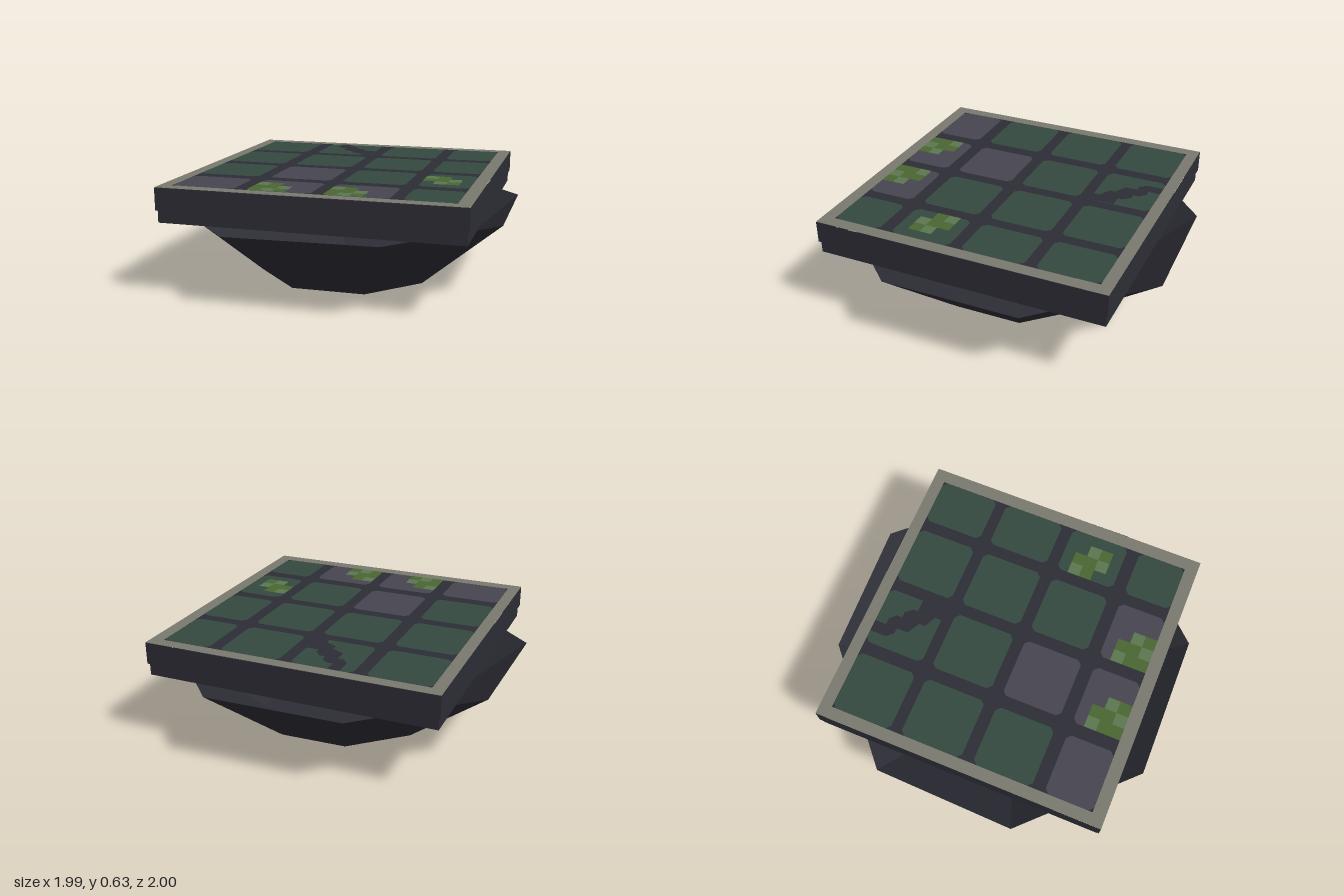
import * as THREE from 'three';

const mat = (name, color, flatShading = false) =>
  new THREE.MeshStandardMaterial({ name, color, flatShading, side: THREE.DoubleSide });

export function createModel() {
  const group = new THREE.Group();
  const stone = mat('dark stone', 0x2d2d36);
  const slab = mat('grey slab', 0x464450);
  const green = mat('green slab', 0x34493f);
  const trim = mat('rim grey', 0x7a796f);
  const moss = mat('moss', 0x4a6632);
  const paleMoss = mat('pale moss', 0x5b774f);

  const add = (name, geometry, material) => {
    const mesh = new THREE.Mesh(geometry, material);
    mesh.name = name;
    group.add(mesh);
    return mesh;
  };

  // Outlines are given as [x, z] pairs and laid flat, facing up
  const points = (list) => list.map(([x, z]) => new THREE.Vector2(x, -z));
  const rect = (x0, z0, x1, z1) => [[x0, z0], [x1, z0], [x1, z1], [x0, z1]];
  const chamfered = (x0, z0, x1, z1, c) => [
    [x0 + c, z0], [x1 - c, z0], [x1, z0 + c], [x1, z1 - c],
    [x1 - c, z1], [x0 + c, z1], [x0, z1 - c], [x0, z0 + c],
  ];
  const flat = (name, outline, y, material, holes = []) => {
    const shape = new THREE.Shape(points(outline));
    shape.holes = holes.map((h) => new THREE.Path(points(h)));
    const geometry = new THREE.ShapeGeometry(shape).rotateX(-Math.PI / 2);
    return add(name, geometry.translate(0, y, 0), material);
  };

  // Open eight-sided bowl with a slightly uneven lip
  const lip = [
    [-0.37, 0.44, -0.975], [0.43, 0.445, -1], [0.985, 0.43, -0.41], [0.99, 0.43, 0.4],
    [0.45, 0.425, 0.985], [-0.41, 0.415, 0.995], [-1, 0.44, 0.41], [-0.98, 0.44, -0.43],
  ].map((p) => new THREE.Vector3(...p));
  const foot = lip.map((p) => new THREE.Vector3(p.x * 0.5 + 0.015, 0, p.z * 0.5 + 0.01));
  const centre = new THREE.Vector3(0.015, 0, 0.01);
  const corners = [];
  lip.forEach((a, i) => {
    const j = (i + 1) % lip.length;
    corners.push(a, lip[j], foot[j], a, foot[j], foot[i]);
    corners.push(centre, foot[i], foot[j]);
  });
  const bowl = new THREE.BufferGeometry().setFromPoints(corners);
  bowl.computeVertexNormals();
  add('bowlBase', bowl, stone);

  // Square bands: box walls without top and bottom
  const band = (name, x0, x1, z0, z1, y0, y1) => {
    const box = new THREE.BoxGeometry(x1 - x0, y1 - y0, z1 - z0);
    box.setIndex(Array.from(box.index.array).filter((_, i) => i < 12 || i >= 24));
    box.clearGroups();
    add(name, box.translate((x0 + x1) / 2, (y0 + y1) / 2, (z0 + z1) / 2), stone);
  };
  band('lowerBand', -0.835, 0.87, -0.84, 0.865, 0.43, 0.5);
  band('upperBand', -0.845, 0.88, -0.85, 0.875, 0.5, 0.627);

  // Paved top: rim, joints with openings, and slabs filling them
  const top = 0.63;
  const inner = rect(-0.775, -0.78, 0.805, 0.8);
  flat('rim', rect(-0.845, -0.85, 0.88, 0.875), top, trim, [inner]);
  const columns = [[-0.775, -0.415], [-0.34, 0.02], [0.09, 0.45], [0.52, 0.805]];
  const rows = [[-0.78, -0.42], [-0.355, 0.015], [0.085, 0.44], [0.515, 0.8]];
  const greyTiles = ['2,1', '3,0', '3,1', '3,2'];
  const e = 0.0005;
  const openings = [];
  rows.forEach(([z0, z1], r) => columns.forEach(([x0, x1], c) => {
    const material = greyTiles.includes(`${r},${c}`) ? slab : green;
    const outline = chamfered(x0 + e, z0 + e, x1 - e, z1 - e, 0.025);
    openings.push(outline);
    flat('pavingSlab', outline, top, material);
  }));
  flat('joints', inner, top, stone, openings);

  // Stepped crack across one slab
  flat('crack', [
    [-0.27, -0.78], [-0.2, -0.78], [-0.2, -0.71], [-0.16, -0.71], [-0.125, -0.675],
    [-0.125, -0.64], [-0.09, -0.64], [-0.055, -0.6], [-0.055, -0.57], [0.02, -0.57],
    [0.02, -0.42], [-0.055, -0.42], [-0.055, -0.46], [-0.125, -0.495], [-0.125, -0.53],
    [-0.2, -0.57], [-0.2, -0.64], [-0.235, -0.64], [-0.27, -0.68],
  ], top + 0.002, stone);

  // Moss patches on a three by three grid: 1 moss, 2 pale moss
  const cell = 0.072;
  const patch = (x, z, pattern) => pattern.forEach((line, r) => [...line].forEach((kind, c) => {
    if (kind === '0') return;
    const x0 = x + c * cell;
    const z0 = z + r * cell;
    flat('mossPatch', rect(x0, z0, x0 + cell, z0 + cell), top + 0.002,
      kind === '2' ? paleMoss : moss);
  }));
  patch(-0.34, 0.584, ['210', '112', '121']);
  patch(0.09, 0.584, ['210', '112', '121']);
  patch(0.52, 0.154, ['210', '112', '021']);

  return group;
}
